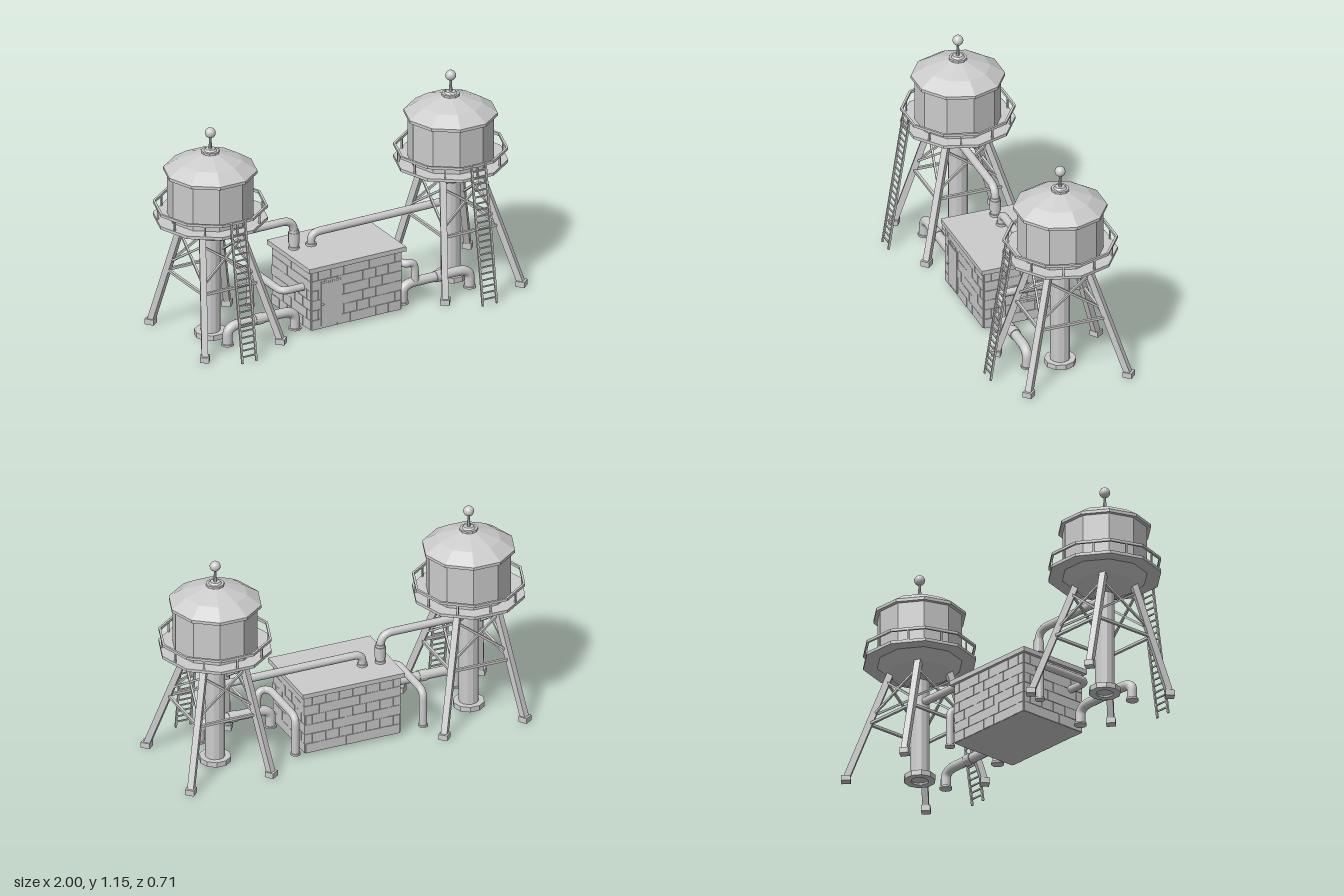
import * as THREE from 'three';
import { mergeGeometries } from 'three/addons/utils/BufferGeometryUtils.js';

const flat = new THREE.MeshStandardMaterial({ color: 0xcccccc, flatShading: true });
const smooth = new THREE.MeshStandardMaterial({ color: 0xcccccc, side: THREE.DoubleSide });
const V = (x, y, z) => new THREE.Vector3(x, y, z);

function add(parent, name, geometry, material = flat, x = 0, y = 0, z = 0) {
  const mesh = new THREE.Mesh(geometry, material);
  mesh.name = name;
  mesh.position.set(x, y, z);
  parent.add(mesh);
  return mesh;
}

const box = (parent, name, w, h, d, x, y, z) =>
  add(parent, name, new THREE.BoxGeometry(w, h, d), flat, x, y, z);

// Square bar from a to b
function beam(parent, name, a, b, w, d = w) {
  const mesh = add(parent, name, new THREE.BoxGeometry(w, d, a.distanceTo(b)));
  mesh.position.copy(a).lerp(b, 0.5);
  mesh.lookAt(b);
  return mesh;
}

// Ten-sided turned part with corners on the x axis
function turned(parent, name, profile) {
  const points = profile.map(([r, y]) => new THREE.Vector2(r, y));
  return add(parent, name, new THREE.LatheGeometry(points, 10, Math.PI / 10));
}

const ring = (parent, name, r0, r1, y0, y1) =>
  turned(parent, name, [[r0, y0], [r1, y0], [r1, y1], [r0, y1], [r0, y0]]);

// Pipe through corner points, with rounded elbows
function pipe(parent, name, r, points, bend = 0.05) {
  const path = new THREE.CurvePath();
  let from = points[0];
  for (let i = 1; i < points.length - 1; i++) {
    const p = points[i];
    const toward = (q) => p.clone().add(q.clone().sub(p).setLength(Math.min(bend, p.distanceTo(q) * 0.48)));
    const a = toward(points[i - 1]), b = toward(points[i + 1]);
    path.add(new THREE.LineCurve3(from, a));
    path.add(new THREE.QuadraticBezierCurve3(a, p, b));
    from = b;
  }
  path.add(new THREE.LineCurve3(from, points[points.length - 1]));
  add(parent, name, new THREE.TubeGeometry(path, 80, r, 14), smooth);
}

// Short collar around a pipe, standing up or lying along x
function collar(parent, r, h, x, y, z, lying = false) {
  const mesh = add(parent, 'pipeCollar', new THREE.CylinderGeometry(r, r, h, 14), flat, x, y, z);
  if (lying) mesh.rotation.z = Math.PI / 2;
}

function createTower() {
  const tower = new THREE.Group();
  tower.name = 'waterTower';

  // Tank, roof and finial
  turned(tower, 'tank', [[0, 0.545], [0.07, 0.55], [0.165, 0.6], [0.22, 0.652], [0.22, 0.91]]);
  turned(tower, 'roof', [[0.2, 0.908], [0.24, 0.908], [0.24, 0.924], [0.165, 0.973], [0.05, 1.014], [0, 1.02]]);
  add(tower, 'roofCap', new THREE.CylinderGeometry(0.047, 0.047, 0.014, 10), flat, 0, 1.019);
  add(tower, 'poleBase', new THREE.CylinderGeometry(0.026, 0.034, 0.01, 10), flat, 0, 1.031);
  add(tower, 'pole', new THREE.CylinderGeometry(0.005, 0.01, 0.08, 8), flat, 0, 1.07);
  add(tower, 'ball', new THREE.IcosahedronGeometry(0.028, 2), flat, 0, 1.123);

  // Gallery with railing
  ring(tower, 'galleryFloor', 0.21, 0.293, 0.652, 0.668);
  ring(tower, 'handRail', 0.281, 0.293, 0.721, 0.735);
  for (let i = 0; i < 10; i++) {
    const a = (i + 0.5) * Math.PI / 5;
    const post = box(tower, 'railPost', 0.009, 0.07, 0.009, 0.272 * Math.cos(a), 0.695, 0.272 * Math.sin(a));
    post.rotation.y = -a;
  }

  // Central riser and its foot
  add(tower, 'riser', new THREE.CylinderGeometry(0.051, 0.051, 0.55, 12), flat, 0, 0.285, 0);
  ring(tower, 'riserFoot', 0.045, 0.082, 0, 0.028);

  // Splayed legs, listed around the tower
  const legs = [[-0.19, 1], [0.257, 1], [0.257, -1], [-0.19, -1]].map(([x, s]) => ({
    foot: V(x, 0.015, s * 0.272), top: V(Math.sign(x) * 0.105, 0.615, s * 0.1),
  }));
  const at = (leg, y) => leg.foot.clone().lerp(leg.top, (y - 0.015) / 0.6);
  legs.forEach((leg, i) => {
    const next = legs[(i + 1) % 4];
    const heading = Math.atan2(leg.foot.x, leg.foot.z);
    beam(tower, 'leg', leg.foot, leg.top, 0.033);
    box(tower, 'legFoot', 0.048, 0.03, 0.048, leg.foot.x, 0.015, leg.foot.z).rotation.y = heading;
    // Cross bracing
    beam(tower, 'tie', at(leg, 0.325), at(next, 0.325), 0.014);
    beam(tower, 'brace', at(leg, 0.37), at(next, 0.56), 0.011);
    beam(tower, 'brace', at(leg, 0.56), at(next, 0.37), 0.011);
  });

  // Ladder leaning on the gallery
  const ladderAt = (x, t) => V(x, 0.735 * t, 0.395 - 0.115 * t);
  for (const x of [-0.041, 0.041]) beam(tower, 'ladderRail', ladderAt(x, 0), ladderAt(x, 1), 0.01);
  for (let i = 1; i < 22; i++)
    beam(tower, 'ladderRung', ladderAt(-0.041, i / 22), ladderAt(0.041, i / 22), 0.007);
  return tower;
}

function createPumpHouse() {
  const house = new THREE.Group();
  house.name = 'pumpHouse';
  const w = 0.525, d = 0.392, h = 0.325, rows = 6;
  box(house, 'walls', w, h, d, 0, 0.015 + h / 2, 0);
  box(house, 'roofSlab', 0.567, 0.025, 0.43, 0, 0.352, 0);

  // Brick facing in running bond on all four walls
  const bricks = [];
  for (let side = 0; side < 4; side++) {
    const [length, out, count] = side % 2 ? [d, w / 2, 5] : [w, d / 2, 7];
    const step = length / count, turn = side * Math.PI / 2;
    for (let row = 0; row < rows; row++) {
      const shift = row % 2 ? step / 2 : 0;
      for (let i = 0; i <= count; i++) {
        const a = Math.max(0, i * step - shift), b = Math.min(length, (i + 1) * step - shift);
        if (b - a < 0.01) continue;
        const depth = (i * 2 + row) % 3 ? 0.008 : 0.011;
        const g = new THREE.BoxGeometry(b - a - 0.002, h / rows - 0.002, depth);
        g.translate((a + b) / 2 - length / 2, 0.015 + (row + 0.5) * h / rows, out);
        bricks.push(g.rotateY(turn));
      }
    }
  }
  add(house, 'bricks', mergeGeometries(bricks));

  // Door with frame and handle
  box(house, 'doorFrame', 0.128, 0.245, 0.014, -0.151, 0.15, d / 2);
  box(house, 'door', 0.116, 0.234, 0.018, -0.151, 0.148, d / 2);
  add(house, 'doorHandle', new THREE.SphereGeometry(0.006, 8, 6), smooth, -0.2, 0.15, d / 2 + 0.012);
  return house;
}

function createPipes() {
  const pipes = new THREE.Group();
  pipes.name = 'pipes';

  // Feeds from the towers down into the pump house roof
  pipe(pipes, 'leftFeed', 0.021, [V(-0.69, 0.525, -0.055), V(-0.21, 0.525, -0.055), V(-0.21, 0.35, -0.055)], 0.07);
  collar(pipes, 0.029, 0.06, -0.21, 0.425, -0.055);
  collar(pipes, 0.025, 0.09, -0.21, 0.425, -0.055);
  collar(pipes, 0.028, 0.014, -0.21, 0.37, -0.055);
  pipe(pipes, 'rightFeed', 0.021, [V(0.69, 0.43, -0.05), V(-0.112, 0.43, -0.05), V(-0.112, 0.35, -0.05)], 0.055);
  collar(pipes, 0.028, 0.014, -0.112, 0.37, -0.05);

  // Ground loops beside the towers
  for (const s of [-1, 1]) {
    const z = 0.135, inner = s * 0.315, outer = s * 0.71;
    pipe(pipes, 'groundLoop', 0.026,
      [V(inner, 0.015, z), V(inner, 0.118, z), V(outer, 0.118, z), V(outer, 0.015, z)], 0.075);
    for (const x of [inner, outer]) collar(pipes, 0.033, 0.01, x, 0.02, z);
    collar(pipes, 0.03, 0.045, s * 0.53, 0.118, z, true);
  }

  // Side runs along the pump house
  pipe(pipes, 'leftSideRun', 0.02,
    [V(-0.25, 0.23, 0.12), V(-0.383, 0.23, 0.12), V(-0.383, 0.23, -0.2), V(-0.383, 0.03, -0.2)]);
  collar(pipes, 0.026, 0.01, -0.383, 0.034, -0.2);
  pipe(pipes, 'rightSideRun', 0.02,
    [V(0.385, 0.118, 0.142), V(0.385, 0.23, 0.142), V(0.32, 0.23, 0.142), V(0.32, 0.23, -0.185), V(0.32, 0.015, -0.185)]);
  collar(pipes, 0.026, 0.01, 0.32, 0.02, -0.185);
  return pipes;
}

export function createModel() {
  const model = new THREE.Group();
  model.name = 'waterStation';
  for (const x of [-0.705, 0.705]) {
    const tower = createTower();
    tower.position.set(x, 0, -0.047);
    model.add(tower);
  }
  const house = createPumpHouse();
  house.position.set(0.008, 0, 0.001);
  model.add(house, createPipes());
  return model;
}
